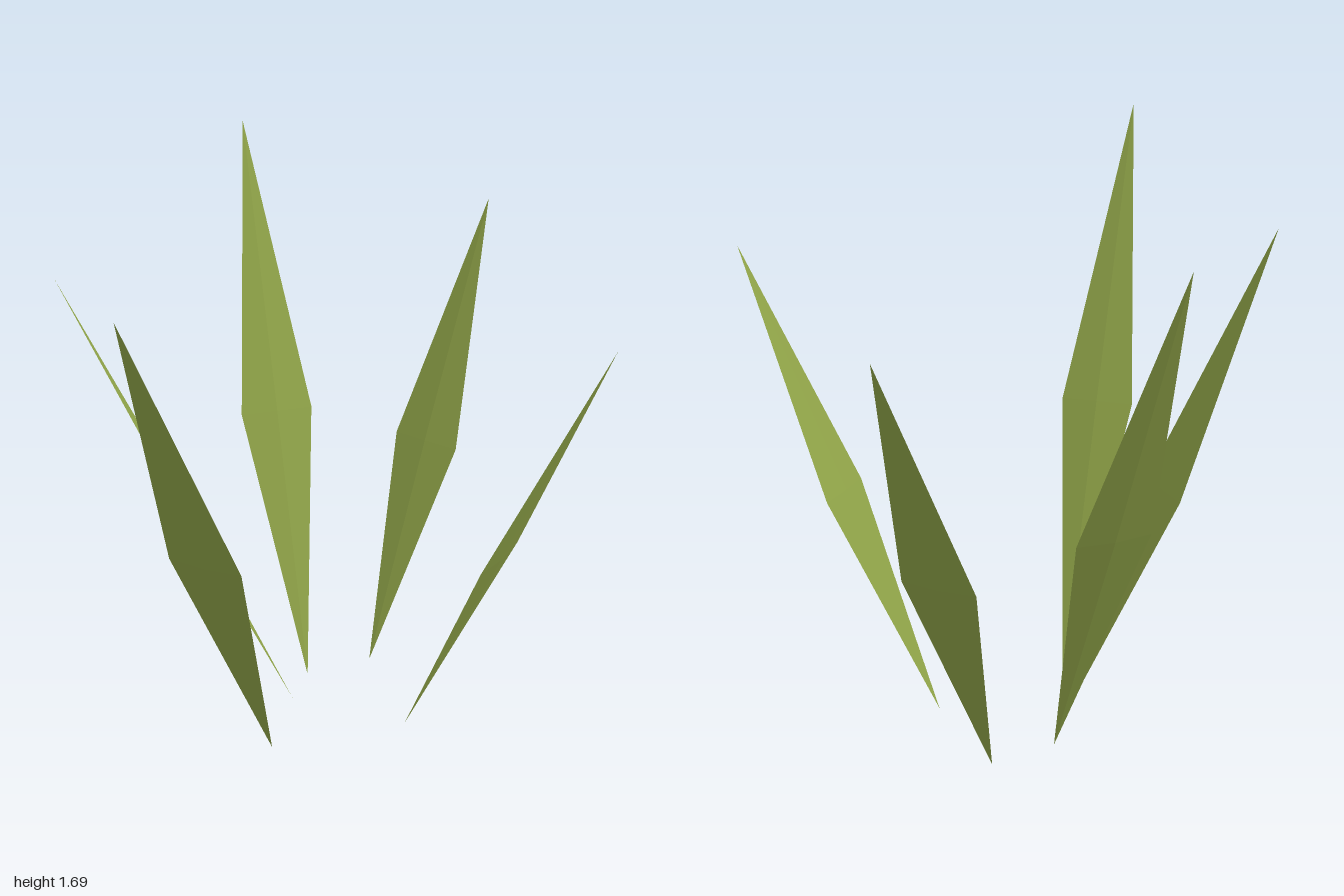
import * as THREE from 'three';

// Each blade: root, tip, and half-width direction (x, z) at its widest point
const BLADES = [
  { name: 'rightLeaf', root: [-0.24, 0, -0.07], tip: [-1, 1.69, 0.06], half: [0.02, 0.112] },
  { name: 'backRightLeaf', root: [0.02, 0, -0.19], tip: [-0.475, 1.475, -0.64], half: [0.077, -0.086] },
  { name: 'backLeftLeaf', root: [0.16, 0, -0.235], tip: [0.61, 1.625, -0.82], half: [0.092, 0.07] },
  { name: 'leftLeaf', root: [0.355, 0, -0.13], tip: [0.995, 1.4, -0.13], half: [0, 0.115] },
  { name: 'frontLeaf', root: [0.108, 0, 0.18], tip: [0.165, 1.4, 0.815], half: [0.115, -0.01] },
];
const WIDEST = 0.48; // position of the widest point along the blade
const THICKNESS = 0.008; // half thickness at the ridge

// Thin diamond blade with a soft ridge down each face
function leafGeometry({ root, tip, half }) {
  const a = new THREE.Vector3(...root);
  const b = new THREE.Vector3(...tip);
  const mid = a.clone().lerp(b, WIDEST);
  const side = new THREE.Vector3(half[0], 0, half[1]);
  const ridge = b.clone().sub(a).cross(side).setLength(THICKNESS);
  const ring = [
    mid.clone().add(side), mid.clone().add(ridge),
    mid.clone().sub(side), mid.clone().sub(ridge),
  ];
  const points = [];
  for (let i = 0; i < 4; i++) {
    const p = ring[i], q = ring[(i + 1) % 4];
    points.push(p, q, b, q, p, a);
  }
  const geometry = new THREE.BufferGeometry().setFromPoints(points);
  geometry.computeVertexNormals(); // unshared corners keep the facets flat
  return geometry;
}

export function createModel() {
  const group = new THREE.Group();
  group.name = 'grassTuft';
  const leafGreen = new THREE.MeshStandardMaterial({ color: 0x8fa348 });
  leafGreen.name = 'leafGreen';
  for (const blade of BLADES) {
    const mesh = new THREE.Mesh(leafGeometry(blade), leafGreen);
    mesh.name = blade.name;
    group.add(mesh);
  }
  return group;
}
